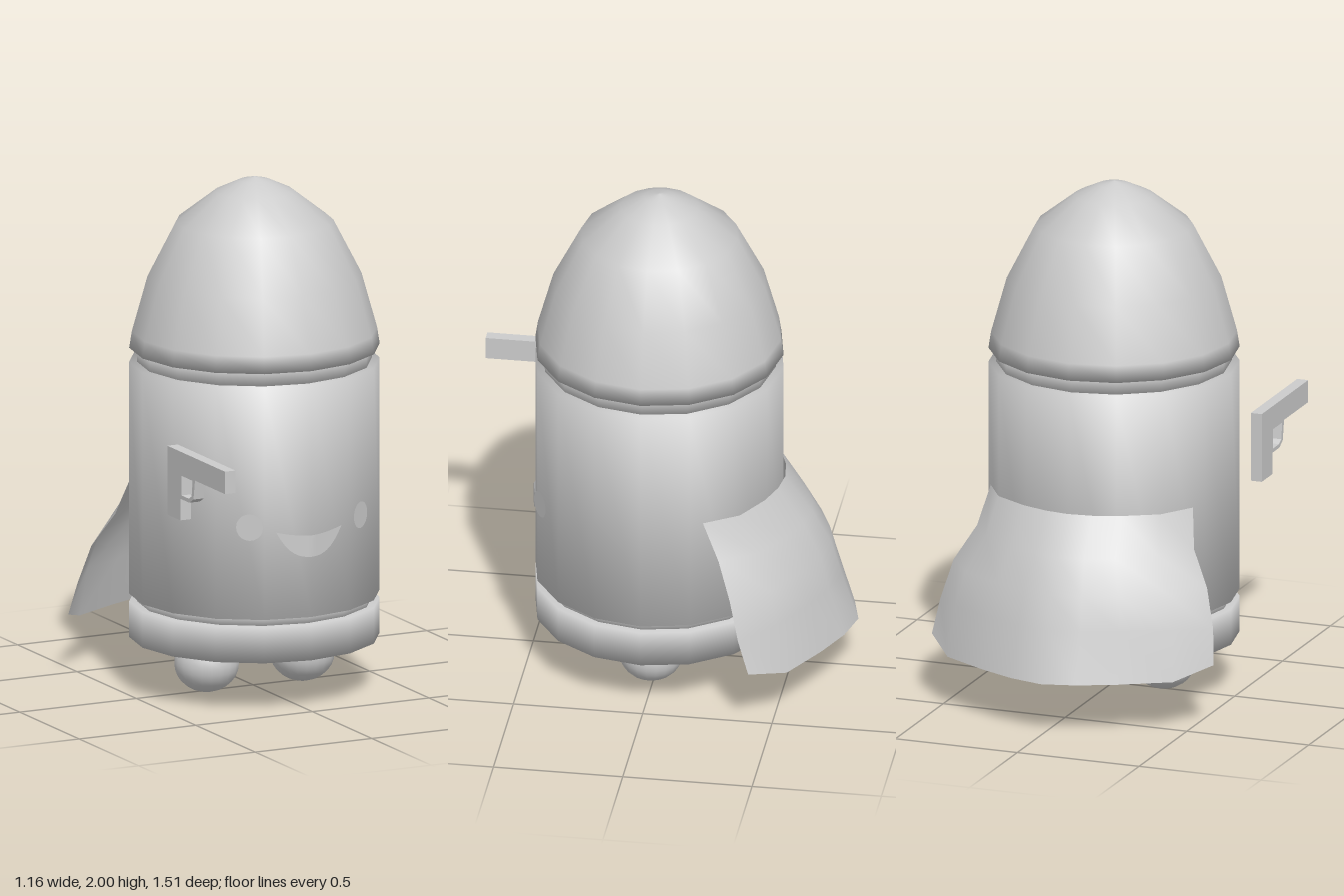
import * as THREE from 'three';

const grey = new THREE.MeshStandardMaterial({ color: 0xcccccc });
const thin = new THREE.MeshStandardMaterial({ color: 0xcccccc, side: THREE.DoubleSide });
const CZ = 0.012; // depth of the body axis
const R = 0.48;

export function createModel() {
  const root = new THREE.Group();

  function add(name, geometry, x = 0, y = 0, z = 0, material = grey) {
    const mesh = new THREE.Mesh(geometry, material);
    mesh.name = name;
    mesh.position.set(x, y, z);
    root.add(mesh);
    return mesh;
  }
  const lathe = (name, profile) => add(name,
    new THREE.LatheGeometry(profile.map(p => new THREE.Vector2(...p)), 16), 0, 0, CZ);
  const drum = (name, r, y0, y1) => lathe(name, [[0, y0], [r, y0], [r, y1], [0, y1]]);

  // Body drums, the recessed seams between them and the dome
  drum('base', R, 0.2, 0.34);
  drum('lowerSeam', 0.45, 0.33, 0.38);
  drum('body', R, 0.37, 1.28);
  drum('upperSeam', 0.45, 1.27, 1.345);
  lathe('dome', [[0, 1.335], [R, 1.335], [0.47, 1.4], [0.41, 1.615],
    [0.302, 1.825], [0.15, 1.943], [0.06, 1.985], [0, 2]]);

  // Feet
  for (const s of [-1, 1]) {
    const foot = add(s < 0 ? 'rightFoot' : 'leftFoot',
      new THREE.SphereGeometry(0.125, 20, 14), s * 0.205, 0.113, CZ);
    foot.scale.y = 0.9;
  }

  // Eyes lie flat on the body facets either side of the front
  const facet = Math.PI * 3 / 16;
  for (const s of [-1, 1]) {
    const eye = add(s < 0 ? 'rightEye' : 'leftEye', new THREE.CircleGeometry(0.052, 20),
      s * 0.238, 0.735, 0.426 + CZ, thin);
    eye.rotation.y = s * facet;
  }

  // Smile: rows between an upper and a lower curve, folded over the front ridge
  const smile = new THREE.PlaneGeometry(2, 1, 16, 2);
  const sp = smile.attributes.position;
  for (let i = 0; i < sp.count; i++) {
    const u = sp.getX(i), v = sp.getY(i) + 0.5;
    const top = 0.692 + 0.02 * u * u;
    const bottom = 0.608 + 0.104 * Math.pow(Math.abs(u), 2.6);
    const x = 0.14 * u;
    sp.setXYZ(i, x, THREE.MathUtils.lerp(bottom, top, v), R + CZ + 0.006 - 0.199 * Math.abs(x));
  }
  smile.computeVertexNormals();
  add('smile', smile, 0, 0, 0, thin);

  // Cape: each row runs from the side edge [x, y, z] to the back centre [y, z]
  const edge = [[0.415, 0.805, -0.22], [0.445, 0.66, -0.285], [0.52, 0.53, -0.34],
    [0.56, 0.38, -0.378], [0.578, 0.25, -0.42]];
  const back = [[0.805, -0.475], [0.66, -0.58], [0.53, -0.653], [0.4, -0.692], [0.205, -0.757]];
  const across = [0, 0.23, 0.48, 0.8, 1];
  const depthTop = [1, 0.95, 0.81, 0.51, 0];
  const depthBottom = [1, 0.9, 0.7, 0.39, 0];
  const { lerp } = THREE.MathUtils;
  const verts = [], faces = [];
  edge.forEach(([ex, ey, ez], r) => {
    const [by, bz] = back[r];
    for (let c = -4; c <= 4; c++) {
      const k = Math.abs(c);
      const f = lerp(depthTop[k], depthBottom[k], r / 4);
      verts.push(Math.sign(c) * across[k] * ex, lerp(ey, by, Math.min(1, 2.5 * f)), lerp(ez, bz, f));
      if (r < 4 && c < 4) {
        const a = r * 9 + c + 4, b = a + 9;
        faces.push(a, a + 1, b, a + 1, b + 1, b);
      }
    }
  });
  const cape = new THREE.BufferGeometry();
  cape.setAttribute('position', new THREE.Float32BufferAttribute(verts, 3));
  cape.setIndex(faces);
  cape.computeVertexNormals();
  add('cape', cape, 0, 0, 0, thin);

  // Blaster: side outline in (z, y) with a trigger opening, floating at the right side
  const vec = pts => pts.map(p => new THREE.Vector2(...p));
  const outline = new THREE.Shape(vec([[0.27, 0.78], [0.38, 0.78], [0.38, 0.865], [0.455, 0.865],
    [0.49, 0.885], [0.503, 0.962], [0.755, 0.962], [0.755, 1.05], [0.27, 1.05]]));
  outline.holes.push(new THREE.Path(vec([[0.39, 0.88], [0.39, 0.957], [0.484, 0.957],
    [0.474, 0.893], [0.45, 0.88]])));
  const blaster = add('blaster',
    new THREE.ExtrudeGeometry(outline, { depth: 0.045, bevelEnabled: false }), -0.46);
  blaster.rotation.y = -Math.PI / 2;

  return root;
}
